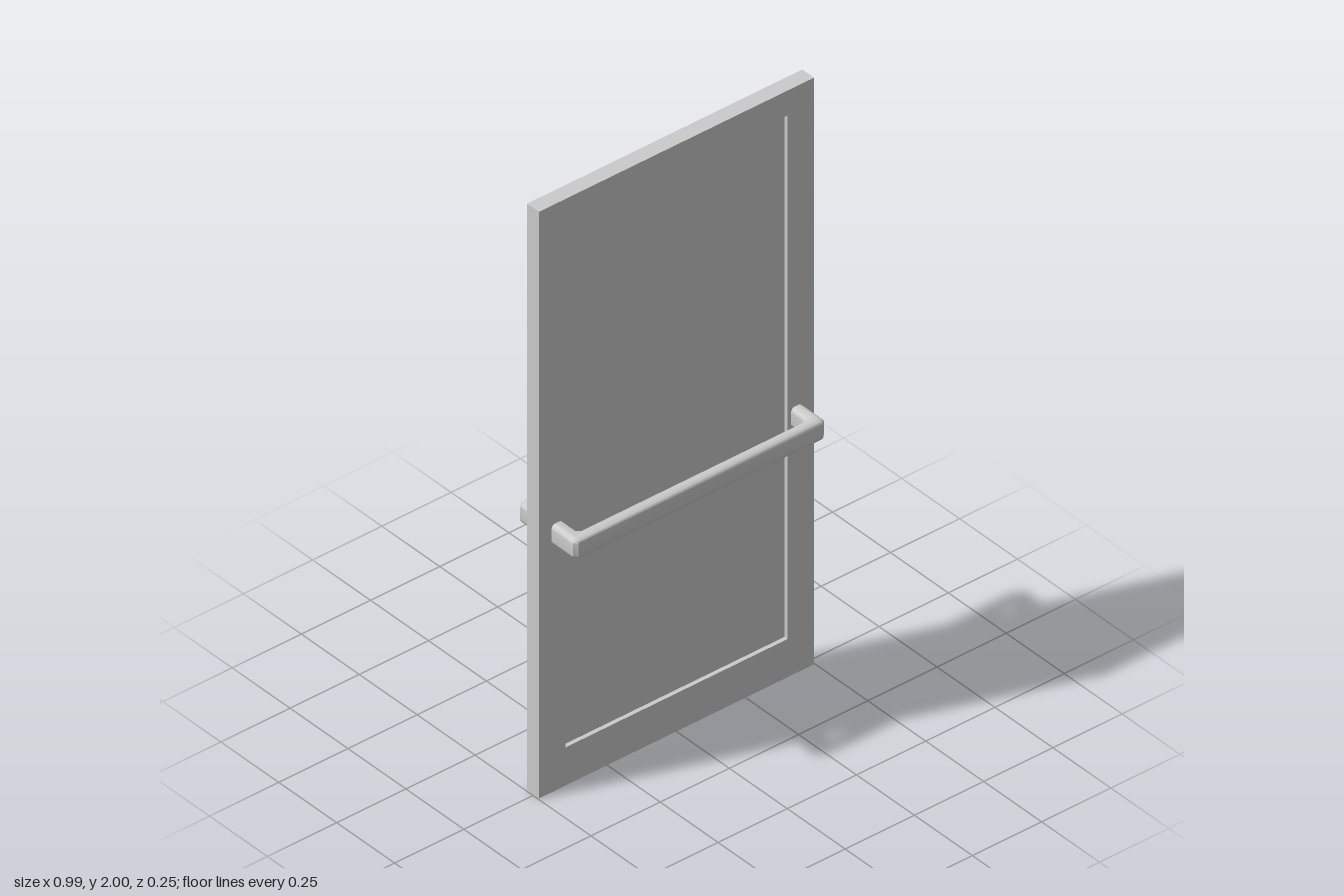
import * as THREE from 'three';
import { toCreasedNormals } from 'three/addons/utils/BufferGeometryUtils.js';

const material = new THREE.MeshStandardMaterial({ color: 0xcccccc });

function addMesh(parent, name, geometry) {
  const mesh = new THREE.Mesh(geometry, material);
  mesh.name = name;
  parent.add(mesh);
  return mesh;
}

// Plan of one side of the handle: a U with cut corners, as [x, z] points
function uPath(x, z, cut, start) {
  const half = [[x, start], [x, z - cut], [x - cut, z]];
  return [...half.map(([px, pz]) => [-px, pz]), ...half.reverse()];
}

// Rounded rectangle, counter-clockwise, centred on the origin
function roundedProfile(w, h, r, steps) {
  const points = [];
  [[1, 1], [-1, 1], [-1, -1], [1, -1]].forEach(([sx, sy], corner) => {
    for (let k = 0; k <= steps; k++) {
      const a = (corner + k / steps) * Math.PI / 2;
      points.push([sx * (w / 2 - r) + r * Math.cos(a), sy * (h / 2 - r) + r * Math.sin(a)]);
    }
  });
  return points;
}

// Sweep the rounded profile between the inner and outer plan lines
function handleGeometry() {
  const outer = uPath(0.4535, 0.125, 0.011, 0.01);
  const inner = uPath(0.412, 0.0875, 0.012, 0.01);
  const width = 0.04;
  const profile = roundedProfile(width, 0.068, 0.014, 5);
  const n = profile.length;
  const positions = [];
  const index = [];
  outer.forEach(([ox, oz], i) => {
    const [ix, iz] = inner[i];
    profile.forEach(([a, b], j) => {
      const t = a / width + 0.5;
      positions.push(ix + (ox - ix) * t, b, iz + (oz - iz) * t);
      if (i === outer.length - 1) return;
      const k = (j + 1) % n;
      const p = i * n + j, q = i * n + k;
      index.push(p, p + n, q, q, p + n, q + n);
    });
  });
  const geometry = new THREE.BufferGeometry();
  geometry.setAttribute('position', new THREE.Float32BufferAttribute(positions, 3));
  geometry.setIndex(index);
  return toCreasedNormals(geometry, THREE.MathUtils.degToRad(40));
}

export function createModel() {
  const model = new THREE.Group();
  model.name = 'door';

  // Frame with a rectangular opening
  const depth = 0.051;
  const frameZ = -0.004;
  const left = -0.4, right = 0.402, bottom = 0.13, top = 1.915;
  const shape = new THREE.Shape([[-0.497, 0], [0.497, 0], [0.497, 2], [-0.497, 2]]
    .map(([x, y]) => new THREE.Vector2(x, y)));
  shape.holes.push(new THREE.Path([[left, bottom], [left, top], [right, top], [right, bottom]]
    .map(([x, y]) => new THREE.Vector2(x, y))));
  const frame = addMesh(model, 'doorFrame',
    new THREE.ExtrudeGeometry(shape, { depth, bevelEnabled: false }));
  frame.position.z = frameZ - depth / 2;

  // Recessed panel
  const panel = addMesh(model, 'doorPanel',
    new THREE.BoxGeometry(right - left, top - bottom, 0.024));
  panel.position.set((left + right) / 2, (top + bottom) / 2, frameZ);

  // Push bars on both faces
  const handles = new THREE.Group();
  handles.name = 'handles';
  handles.position.set(0.002, 0.877, 0);
  model.add(handles);
  const bar = handleGeometry();
  addMesh(handles, 'frontHandle', bar);
  addMesh(handles, 'backHandle', bar).rotation.y = Math.PI;

  return model;
}
